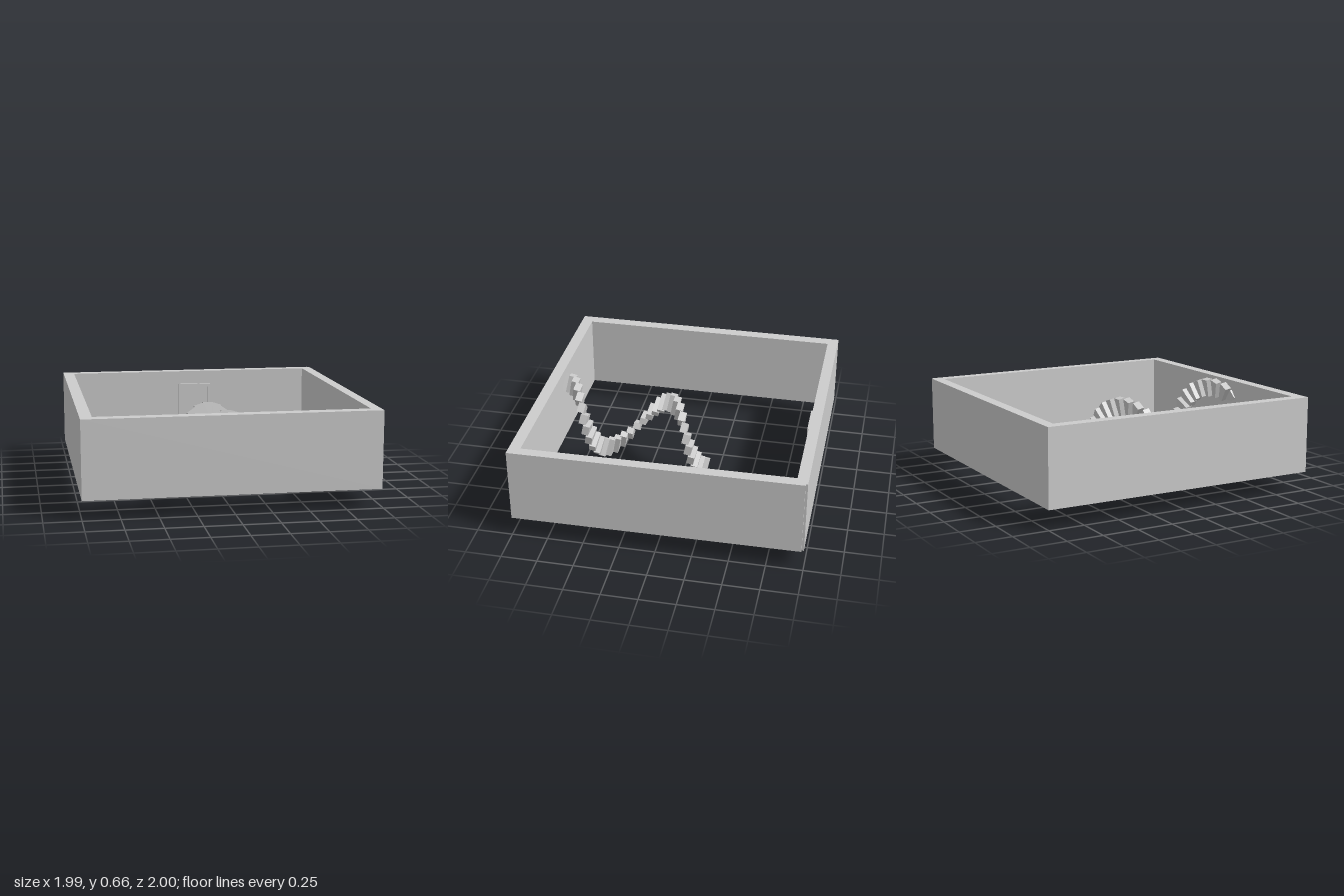
import * as THREE from 'three';

const grey = new THREE.MeshStandardMaterial({ color: 0xcccccc });

function add(parent, name, geometry, x = 0, y = 0, z = 0) {
  const mesh = new THREE.Mesh(geometry, grey);
  mesh.name = name;
  mesh.position.set(x, y, z);
  parent.add(mesh);
  return mesh;
}

const box = (w, h, d) => new THREE.BoxGeometry(w, h, d);
const points = (list) => list.map(([x, z]) => new THREE.Vector2(x, z));

// Ring of four walls, open above and below, slightly out of square on one side
function wallGeometry() {
  const shape = new THREE.Shape(points([
    [-1, -1], [0.96, -0.995], [0.96, -0.98], [0.975, -0.98], [0.99, 1], [-1, 1],
  ]));
  shape.holes.push(new THREE.Path(points([
    [-0.92, -0.925], [-0.92, 0.92], [0.92, 0.92], [0.9, -0.92],
  ])));
  return new THREE.ExtrudeGeometry(shape, { depth: 0.53, bevelEnabled: false })
    .rotateX(Math.PI / 2).translate(0, 0.67, 0);
}

// Wedge block: x is radial, narrower toward the spiral's axis
function blockGeometry() {
  const geo = box(0.13, 0.07, 0.05);
  const pos = geo.attributes.position;
  for (let i = 0; i < pos.count; i++) {
    if (pos.getX(i) < 0) pos.setY(i, pos.getY(i) * 0.68);
  }
  geo.computeVertexNormals();
  return geo;
}

// Spiral of blocks running from the middle of the room into the front wall
function createSpiral() {
  const spiral = new THREE.Group();
  spiral.name = 'blockSpiral';
  const geo = blockGeometry();
  const step = 360 / 21;
  for (let i = 0; i < 34; i++) {
    const degrees = -65 + i * step;
    const a = THREE.MathUtils.degToRad(degrees);
    const z = -0.07 + 0.75 * degrees / 360;
    const block = add(spiral, 'spiralBlock', geo,
      -0.035 + 0.17 * Math.cos(a),
      0.3 + 0.1 * z + 0.215 * Math.sin(a),
      z - 0.05 * Math.sin(a));
    block.rotation.set(-0.2, 0, a);
  }
  return spiral;
}

// Framed door on the inside of the back wall
function createDoor() {
  const door = new THREE.Group();
  door.name = 'door';
  door.position.set(0.025, 0.115, -0.92);
  add(door, 'doorPanel', box(0.21, 0.43, 0.012), 0, 0.215, 0.004);
  for (const s of [-1, 1]) add(door, 'doorJamb', box(0.022, 0.455, 0.025), s * 0.114, 0.2275, 0.0075);
  add(door, 'doorLintel', box(0.206, 0.025, 0.025), 0, 0.4425, 0.0075);
  // Handle: plate, stem and lever
  add(door, 'handlePlate', box(0.014, 0.06, 0.006), 0.07, 0.22, 0.012);
  const stem = add(door, 'handleStem', new THREE.CylinderGeometry(0.005, 0.005, 0.016, 10), 0.07, 0.235, 0.02);
  stem.rotation.x = Math.PI / 2;
  add(door, 'handleLever', box(0.03, 0.008, 0.006), 0.06, 0.235, 0.028);
  return door;
}

export function createModel() {
  const model = new THREE.Group();
  model.name = 'walledRoom';
  add(model, 'walls', wallGeometry());
  model.add(createSpiral(), createDoor());
  return model;
}
